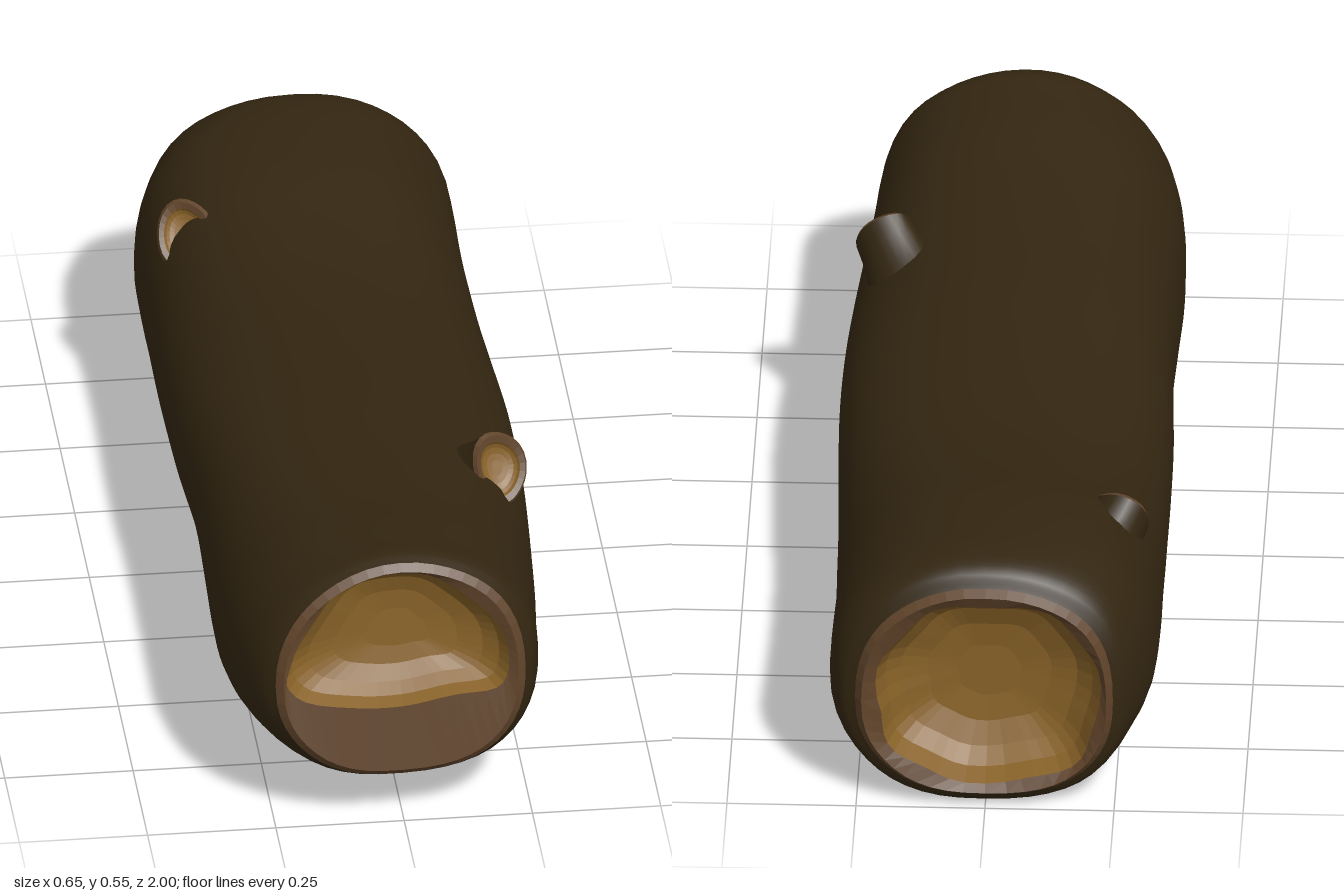
import * as THREE from 'three';

const N = 48;
const V = (x, y, z) => new THREE.Vector3(x, y, z);

// skin over closed rings of equal length
function loft(rings, flat) {
  const n = rings[0].length, index = [];
  for (let r = 0; r < rings.length - 1; r++) {
    for (let i = 0; i < n; i++) {
      const a = r * n + i, b = r * n + (i + 1) % n;
      index.push(a, b, b + n, a, b + n, a + n);
    }
  }
  let g = new THREE.BufferGeometry().setFromPoints(rings.flat());
  g.setIndex(index);
  if (flat) g = g.toNonIndexed();
  g.computeVertexNormals();
  return g;
}

function centreOf(ring) {
  const c = V(0, 0, 0);
  ring.forEach(p => c.add(p));
  return c.divideScalar(ring.length);
}

// shrink a ring to its centre and push it along a direction
function inset(ring, scale, push) {
  const c = centreOf(ring);
  return ring.map(p => p.clone().sub(c).multiplyScalar(scale).add(c).add(push));
}

// rings of a hollow whose floor lies depth below its edge
function hollow(edge, inward) {
  return [[1, 0], [0.92, 0.4], [0.78, 0.72], [0.55, 0.92], [0.28, 1], [0.001, 1]]
    .map(([s, d]) => inset(edge, s, inward.clone().multiplyScalar(d)));
}

// trunk stations: z, top, bottom, right edge (-x), left edge (+x)
const stations = [
  [-0.975, 0.475, 0.025, -0.25, 0.25], [-0.955, 0.505, 0.004, -0.275, 0.28],
  [-0.9, 0.52, 0.008, -0.3, 0.3], [-0.8, 0.52, 0.02, -0.325, 0.302],
  [-0.65, 0.51, 0.024, -0.328, 0.302], [-0.5, 0.487, 0.027, -0.325, 0.308],
  [-0.35, 0.472, 0.032, -0.325, 0.313], [-0.2, 0.47, 0.04, -0.326, 0.318],
  [0, 0.477, 0.05, -0.327, 0.322], [0.2, 0.487, 0.063, -0.322, 0.318],
  [0.4, 0.495, 0.055, -0.325, 0.31], [0.6, 0.51, 0.035, -0.326, 0.3],
  [0.75, 0.53, 0.055, -0.318, 0.288], [0.87, 0.543, 0.078, -0.295, 0.28],
  [0.93, 0.55, 0.09, -0.27, 0.268], [0.962, 0.542, 0.105, -0.245, 0.245]
];

function trunkRings() {
  const heights = new THREE.CatmullRomCurve3(stations.map(s => V(s[0], s[1], s[2])), false, 'catmullrom');
  const widths = new THREE.CatmullRomCurve3(stations.map(s => V(s[0], s[3], s[4])), false, 'catmullrom');
  const rings = [], steps = 60;
  const power = (v, e) => Math.sign(v) * Math.pow(Math.abs(v), e);
  for (let k = 0; k <= steps; k++) {
    const h = heights.getPoint(k / steps), w = widths.getPoint(k / steps), z = h.x;
    const cx = (w.y + w.z) / 2, hw = (w.z - w.y) / 2, cy = h.z + 0.46 * (h.y - h.z);
    const front = THREE.MathUtils.smoothstep(z, 0.6, 0.95);
    const back = THREE.MathUtils.smoothstep(-z, 0.7, 0.95);
    const ring = [];
    for (let i = 0; i < N; i++) {
      const a = i / N * Math.PI * 2, c = Math.cos(a), s = Math.sin(a);
      const e = s > 0 ? 0.86 + 0.1 * front : 0.84;
      const wave = 1 + 0.012 * Math.sin(3 * a + 5 * z) * c * c;
      const x = cx + hw * power(c, e) * wave;
      const y = cy + (s > 0 ? h.y - cy : cy - h.z) * power(s, e) * (1 + 0.02 * Math.sin(4 * a + 6 * z) * c);
      // both sawn ends lean a little
      const lean = front * (-0.13 * (y - 0.33) - 0.05 * x) + back * 0.03 * (y - 0.25);
      ring.push(V(x, y, z + lean));
    }
    rings.push(ring);
  }
  return rings;
}

// stub ring: ellipse facing dir, its long axis mostly upright
function stubRing(centre, dir, rx, ry) {
  const n = dir.clone().normalize();
  const u = V(0, 1, 0).cross(n).normalize(), v = n.clone().cross(u);
  return Array.from({ length: 24 }, (_, i) => {
    const a = i / 24 * Math.PI * 2, wob = 1 + 0.05 * Math.sin(3 * a + 1);
    return centre.clone().addScaledVector(u, Math.cos(a) * rx * wob).addScaledVector(v, Math.sin(a) * ry * wob);
  });
}

export function createModel() {
  const group = new THREE.Group();
  const material = (name, color) => {
    const m = new THREE.MeshStandardMaterial({ color });
    m.name = name;
    return m;
  };
  const bark = material('bark', 0x332611);
  const rimWood = material('rimWood', 0x5f432a);
  const coreWood = material('coreWood', 0x876127);
  const add = (parent, name, geometry, mat) => {
    const mesh = new THREE.Mesh(geometry, mat);
    mesh.name = name;
    parent.add(mesh);
  };

  // trunk
  const trunk = trunkRings();
  add(group, 'trunk', loft(trunk), bark);

  // front end: broad rim below, hollow core above
  const frontEdge = trunk[trunk.length - 1];
  const outline = [[0.21, 0.33], [0.19, 0.4], [0.12, 0.47], [0.05, 0.515], [-0.05, 0.52], [-0.12, 0.5],
    [-0.17, 0.44], [-0.23, 0.34], [-0.2, 0.275], [-0.1, 0.25], [0, 0.245], [0.1, 0.26], [0.19, 0.27]];
  const curve = new THREE.CatmullRomCurve3(
    outline.map(([x, y]) => V(x, y, 0.965 - 0.13 * (y - 0.33) - 0.05 * x)), true, 'catmullrom');
  const frontCore = Array.from({ length: N }, (_, i) => curve.getPoint(i / N));
  const frontLip = inset(frontEdge, 0.94, V(0, 0, 0.012));
  add(group, 'frontRim', loft([frontEdge, frontLip, frontCore], true), rimWood);
  add(group, 'frontCore', loft(hollow(frontCore, V(0, 0, -0.07)), true), coreWood);

  // back end: narrow uneven rim around a deeper hollow
  const backEdge = trunk[0];
  const backLip = inset(backEdge, 0.95, V(0, 0, -0.018));
  const mid = centreOf(backEdge);
  const backCore = backEdge.map((p, i) => {
    const s = 0.86 + 0.025 * Math.sin(i * 0.9) - 0.03 * Math.cos(i / N * Math.PI * 2);
    return p.clone().sub(mid).multiplyScalar(s).add(mid).add(V(0, 0, -0.006));
  });
  add(group, 'backRim', loft([backCore, backLip, backEdge], true), rimWood);
  add(group, 'backCore', loft(hollow(backCore, V(0, 0, 0.1)).reverse(), true), coreWood);

  // broken branch stubs: root, tip, direction of the cut face
  const stubs = [
    ['leftStub', V(0.17, 0.31, 0.35), V(0.25, 0.45, 0.435), V(0.3, 0.42, 0.85), 0.056, 0.074],
    ['rightStub', V(-0.18, 0.3, -0.66), V(-0.25, 0.425, -0.575), V(-0.3, 0.5, 0.8), 0.056, 0.068]
  ];
  for (const [name, root, tip, face, rx, ry] of stubs) {
    const stub = new THREE.Group();
    stub.name = name;
    const stem = tip.clone().sub(root);
    const rings = [[0, 2.1], [0.3, 1.6], [0.55, 1.22], [0.8, 1.05], [1, 1]].map(([t, s]) =>
      stubRing(root.clone().lerp(tip, t), stem.clone().normalize().lerp(face, t), rx * s, ry * s));
    const edge = rings[rings.length - 1], n = face.clone().normalize();
    const lip = inset(edge, 0.9, n.clone().multiplyScalar(0.008));
    const core = inset(edge, 0.72, n.clone().multiplyScalar(0.004));
    add(stub, name + 'Bark', loft(rings), bark);
    add(stub, name + 'Rim', loft([edge, lip, core], true), rimWood);
    add(stub, name + 'Core', loft(hollow(core, n.clone().multiplyScalar(-0.015)), true), coreWood);
    group.add(stub);
  }
  return group;
}
